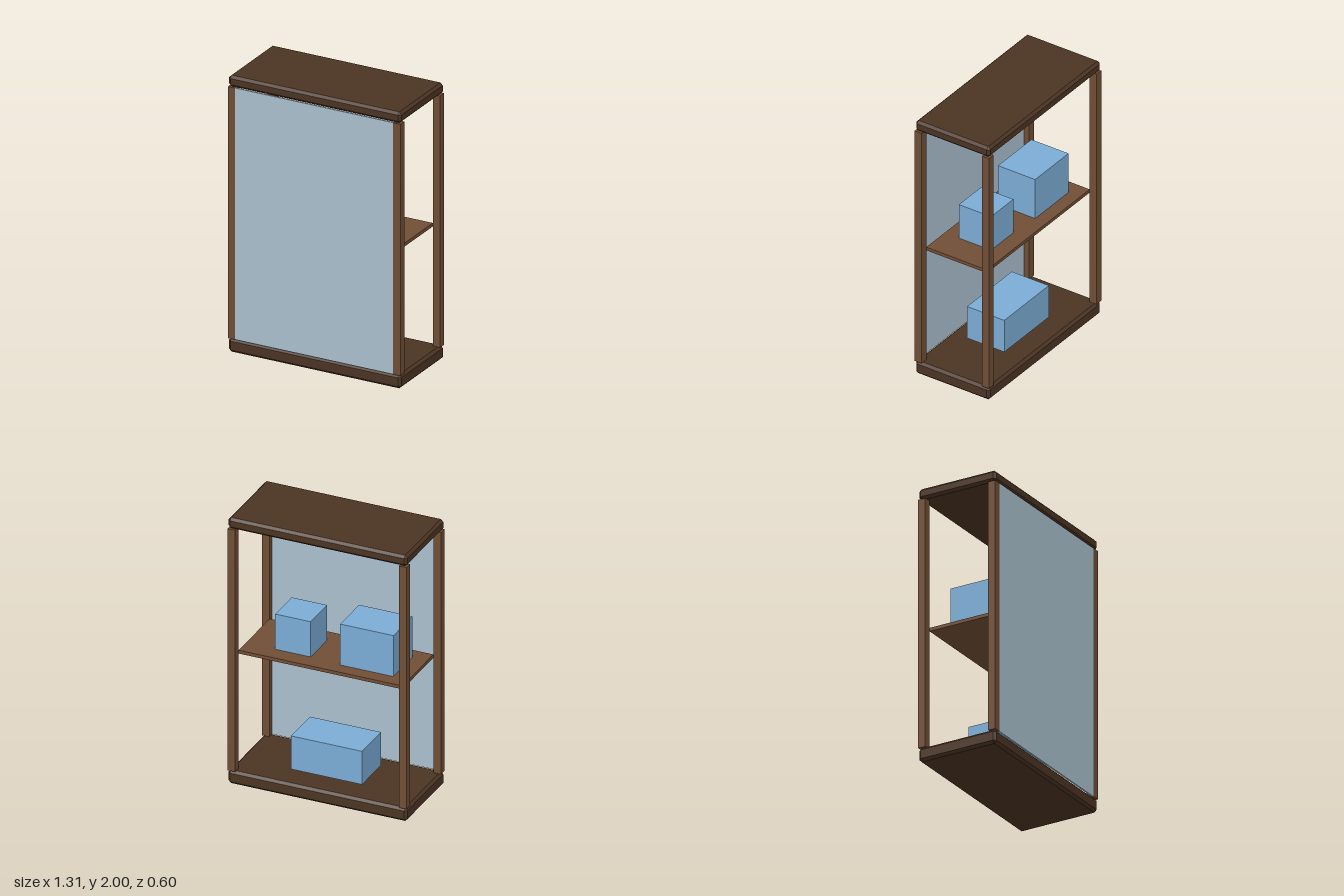
import * as THREE from 'three';
import { ConvexGeometry } from 'three/addons/geometries/ConvexGeometry.js';

const material = (name, color) => {
  const m = new THREE.MeshStandardMaterial({ color });
  m.name = name;
  return m;
};

// Box with every edge cut off by c
function chamferedBox(w, h, d, c) {
  const [x, y, z] = [w / 2, h / 2, d / 2];
  const points = [];
  for (const sx of [-1, 1]) for (const sy of [-1, 1]) for (const sz of [-1, 1]) {
    points.push(
      new THREE.Vector3(sx * x, sy * (y - c), sz * (z - c)),
      new THREE.Vector3(sx * (x - c), sy * y, sz * (z - c)),
      new THREE.Vector3(sx * (x - c), sy * (y - c), sz * z)
    );
  }
  return new ConvexGeometry(points);
}

export function createModel() {
  const group = new THREE.Group();
  group.name = 'displayCabinet';

  const darkWood = material('dark wood', 0x4b3423);
  const wood = material('wood', 0x704e35);
  const glass = material('glass', 0xa9bfcd);
  const blue = material('display blue', 0x7bacd5);

  const add = (name, geometry, mat, x, y, z) => {
    const mesh = new THREE.Mesh(geometry, mat);
    mesh.name = name;
    mesh.position.set(x, y, z);
    group.add(mesh);
  };
  // Plain box standing on height y
  const box = (name, mat, w, h, d, x, y, z) =>
    add(name, new THREE.BoxGeometry(w, h, d), mat, x, y + h / 2, z);

  const W = 1.31, D = 0.6, post = 0.055;
  const baseTop = 0.1, capBottom = 1.92, inner = capBottom - baseTop;

  // Chamfered base and top
  add('base', chamferedBox(W, baseTop, D, 0.018), darkWood, 0, baseTop / 2, 0);
  add('top', chamferedBox(W, 2 - capBottom, D, 0.018), darkWood, 0, (2 + capBottom) / 2, 0);

  // Corner posts
  for (const sx of [-1, 1]) for (const sz of [-1, 1]) {
    box('cornerPost', wood, post, inner, post,
      sx * (W - post) / 2, baseTop, sz * (D - post) / 2);
  }

  // Shelf and front pane
  box('shelf', wood, W - 2 * post, 0.025, D - 2 * post, 0, 0.965, 0);
  box('frontGlass', glass, W - 2 * post, inner, 0.012, 0, baseTop, D / 2 - 0.007);

  // Displayed blocks
  box('lowerBlock', blue, 0.52, 0.25, 0.3, 0, 0.125, 0);
  box('largeShelfBlock', blue, 0.39, 0.308, 0.3, -0.295, 0.99, 0);
  box('smallShelfBlock', blue, 0.26, 0.265, 0.26, 0.255, 0.99, 0);

  return group;
}
